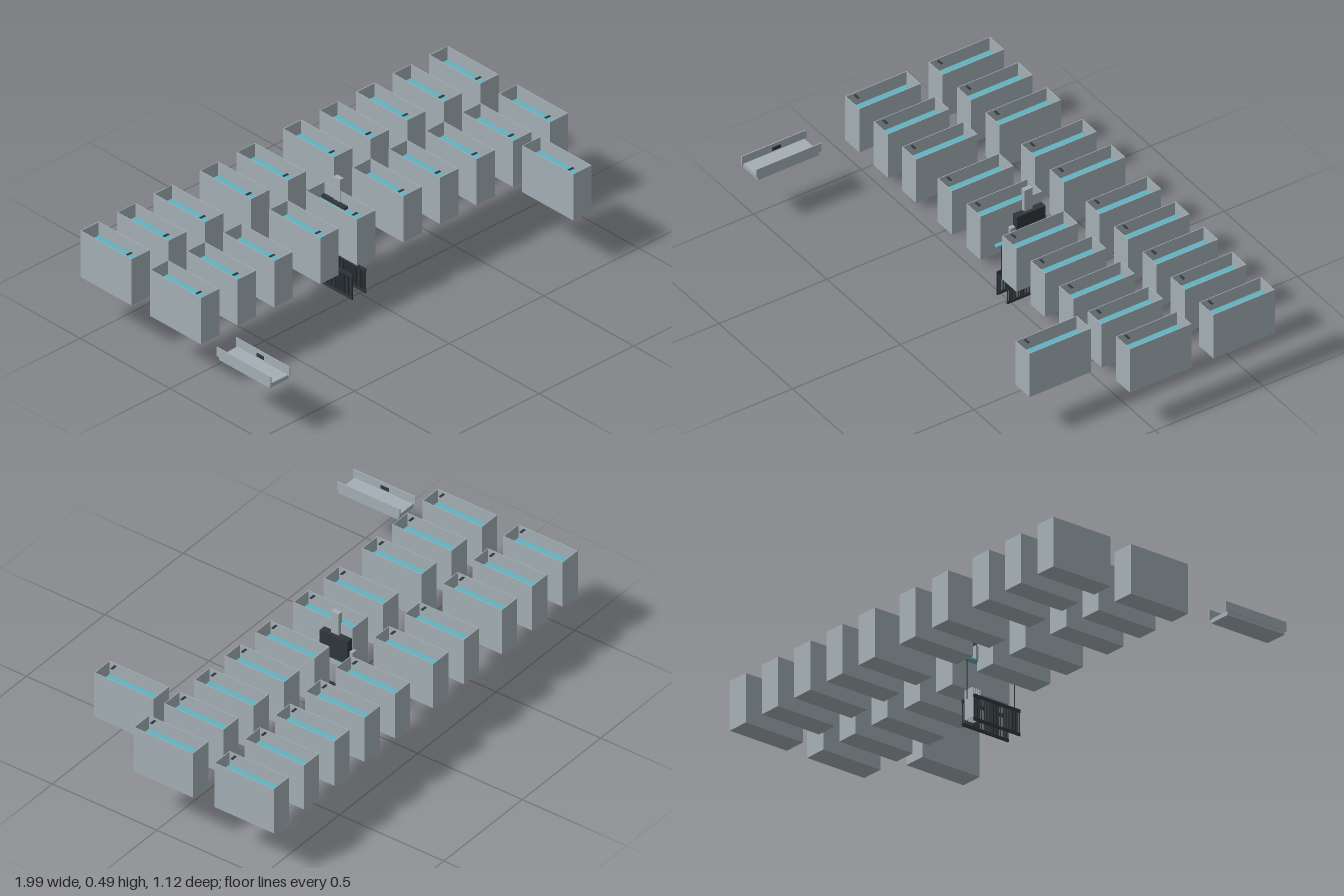
import * as THREE from 'three';

const material = (name, color) => {
  const m = new THREE.MeshStandardMaterial({ color });
  m.name = name;
  return m;
};

export function createModel() {
  const model = new THREE.Group();
  model.name = 'dippingLine';
  const grey = material('steelGrey', 0xa3aeb4);
  const teal = material('bathTeal', 0x62b2c0);
  const dark = material('darkSteel', 0x2f363b);

  // box given by its limits on each axis
  const box = (parent, name, mat, [x0, x1], [y0, y1], [z0, z1]) => {
    const mesh = new THREE.Mesh(new THREE.BoxGeometry(x1 - x0, y1 - y0, z1 - z0), mat);
    mesh.position.set((x0 + x1) / 2, (y0 + y1) / 2, (z0 + z1) / 2);
    mesh.name = name;
    parent.add(mesh);
    return mesh;
  };
  const group = (name) => {
    const g = new THREE.Group();
    g.name = name;
    model.add(g);
    return g;
  };

  // open tank: floor, four thin walls, bath surface and a blank tag
  const addTank = (cx, cz) => {
    const tank = group('tank');
    tank.position.set(cx, 0.227, cz);
    const w = 0.0485, d = 0.1425, h = 0.209, t = 0.003;
    box(tank, 'tankFloor', grey, [-w, w], [0, t], [-d, d]);
    for (const s of [-1, 1]) {
      const side = box(tank, 'tankSideWall', grey, [w - t, w], [t, h], [-d, d]);
      side.position.x *= s;
      const end = box(tank, 'tankEndWall', grey, [t - w, w - t], [t, h], [d - t, d]);
      end.position.z *= s;
    }
    box(tank, 'bathSurface', teal, [t - w, w - t], [0.145, 0.149], [t - d, d - t]);
    box(tank, 'tankTag', dark, [-0.038, -0.012], [h - 0.003, h - 0.001], [0.1, 0.11]);
  };
  const columns = [-0.895, -0.701, -0.508, -0.265, -0.07, 0.174, 0.367, 0.561, 0.754, 0.947];
  for (const x of columns) for (const z of [-0.415, -0.029]) addTank(x, z);
  addTank(0.754, 0.305);

  // loading trough
  const trough = group('loadingTrough');
  box(trough, 'troughBase', grey, [-0.995, -0.896], [0.249, 0.267], [0.268, 0.55]);
  for (const s of [-1, 1]) {
    const x = -0.9455 + s * 0.0505, hook = -0.9455 + s * 0.043;
    box(trough, 'troughSide', grey, [x - 0.002, x + 0.002], [0.264, 0.304], [0.258, 0.558]);
    box(trough, 'troughHook', dark, [hook - 0.002, hook + 0.002], [0.278, 0.292], [0.382, 0.42]);
  }

  // carrier: post, drive box, beam and hanging rods
  const carrier = group('carrier');
  box(carrier, 'post', grey, [-0.027, -0.006], [0.38, 0.487], [-0.116, -0.079]);
  box(carrier, 'driveBox', dark, [-0.043, 0.008], [0.28, 0.387], [-0.168, -0.036]);
  box(carrier, 'carrierBody', grey, [-0.03, -0.005], [0.275, 0.333], [-0.183, -0.015]);
  box(carrier, 'beam', teal, [-0.029, -0.003], [0.267, 0.275], [-0.25, 0.05]);
  for (const z of [0.019, -0.217])
    box(carrier, 'hangingRod', dark, [-0.018, -0.015], [0.1, 0.268], [z - 0.0015, z + 0.0015]);

  // pair of slatted racks below the carrier
  const racks = group('slattedRacks');
  for (const x of [-0.052, 0.018]) {
    for (const [y0, y1] of [[0, 0.012], [0.098, 0.111]])
      box(racks, 'rackRail', dark, [x - 0.003, x + 0.003], [y0, y1], [-0.213, 0.018]);
    const count = 32;
    for (let i = 0; i < count; i++) {
      const z = 0.0155 - (i / (count - 1)) * 0.226;
      box(racks, 'rackSlat', dark, [x - 0.002, x + 0.002], [0.012, 0.098], [z - 0.0017, z + 0.0017]);
    }
  }

  // row of thin sheets hanging between the racks
  const sheets = group('hangingSheets');
  for (let i = 0; i < 7; i++) {
    const z = -0.168 - i * 0.0067;
    box(sheets, 'sheet', grey, [-0.039, 0.007], [0.02, 0.146], [z - 0.0008, z + 0.0008]);
  }
  return model;
}
